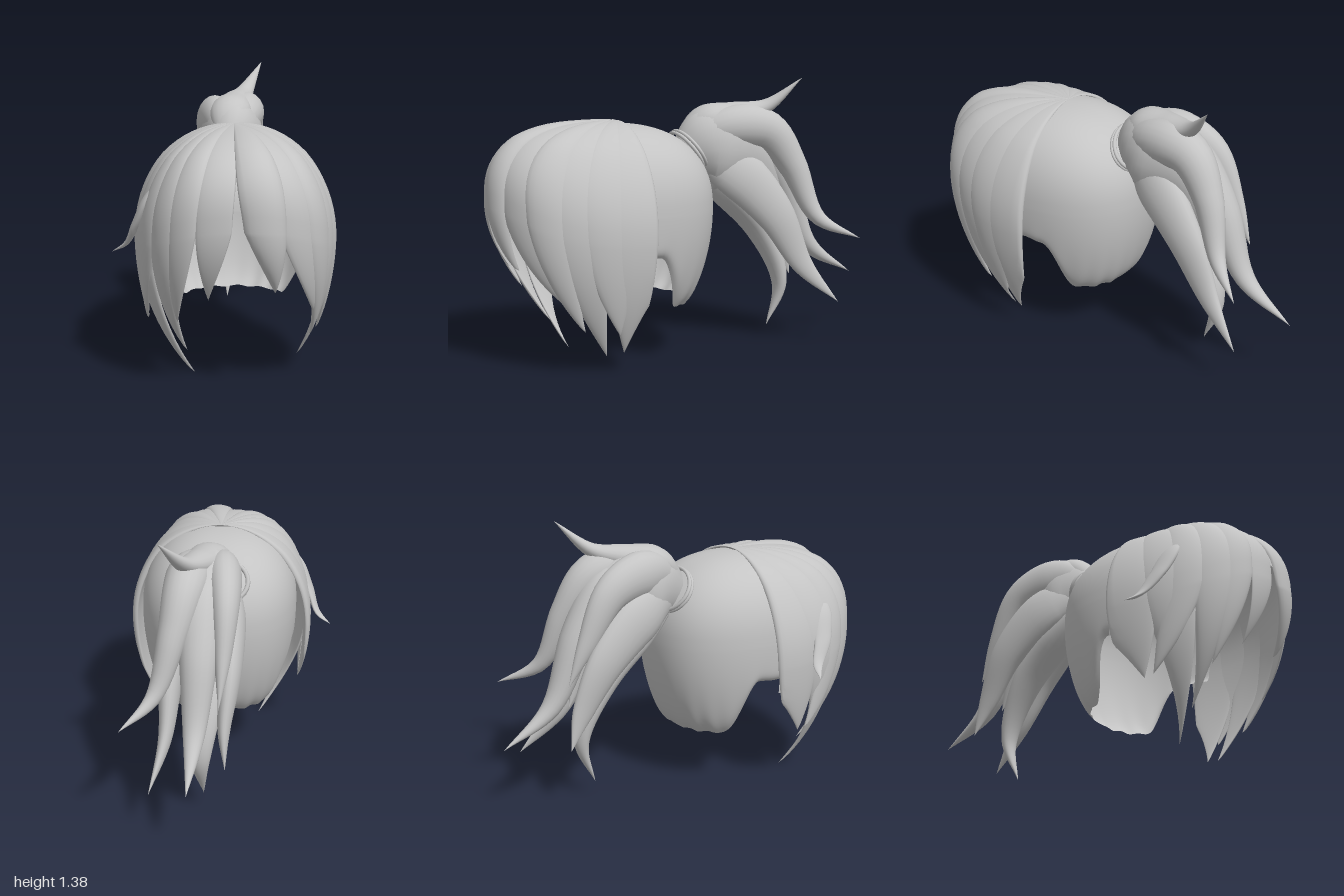
import * as THREE from 'three';

const hair = new THREE.MeshStandardMaterial({ color: 0xc4c4c4, side: THREE.DoubleSide });
hair.name = 'hair grey';

const rad = THREE.MathUtils.degToRad;
const smooth = THREE.MathUtils.smoothstep;
const spow = (v, e) => Math.sign(v) * Math.pow(Math.abs(v), e);
const V = (x, y, z) => new THREE.Vector3(x, y, z);

// Smooth grid surface from fn(u, v); a closed grid wraps around in v.
function grid(rows, cols, closed, fn) {
  const pos = [], idx = [], n = closed ? cols : cols + 1;
  for (let i = 0; i <= rows; i++)
    for (let j = 0; j < n; j++) pos.push(...fn(i / rows, j / cols).toArray());
  for (let i = 0; i < rows; i++)
    for (let j = 0; j < cols; j++) {
      const a = i * n + j, b = i * n + ((j + 1) % n);
      idx.push(a, a + n, b, b, a + n, b + n);
    }
  const g = new THREE.BufferGeometry();
  g.setAttribute('position', new THREE.Float32BufferAttribute(pos, 3));
  g.setIndex(idx);
  g.computeVertexNormals();
  return g;
}

// Point on the front dome: phi runs around from the front, t from crown to tip.
function frontDome(phi, t, tipY, curl) {
  const f = Math.max(0, Math.cos(phi)) ** 2;
  const eq = 0.65 + 0.15 * f, n = 2 + 0.8 * f;
  const a = Math.min(1, t * 2) * Math.PI / 2;
  let h = Math.pow(Math.sin(a), 2 / n);
  let y = eq + (1.18 - eq) * Math.pow(Math.max(0, Math.cos(a)), 2 / n);
  if (t > 0.5) {
    const d = (eq - tipY) * (t - 0.5) * 2;
    y = eq - d;
    h = 1 - curl * d * d;
  }
  const c = Math.cos(phi);
  return V(0.055 + 0.455 * h * spow(Math.sin(phi), 0.83), y,
    0.32 + (c > 0 ? 0.64 : 0.2) * h * spow(c, 0.83));
}

// Lens-shaped lock lying on the dome.
function domeLock([top, tip, tipY, half, curl, bulge]) {
  const centre = V(0.055, 0.72, 0.38);
  return grid(36, 20, true, (t, v) => {
    const a = v * Math.PI * 2;
    const w = 1 - Math.pow(Math.max(0, (t - 0.3) / 0.7), 2);
    const phi = rad(top + (tip - top) * t * t + half * w * Math.cos(a));
    const p = frontDome(phi, t, tipY, curl);
    const s = Math.sin(a);
    const off = bulge * Math.min(1, t * 4) * Math.sqrt(w) * (s > 0 ? s : 0.35 * s);
    return p.addScaledVector(p.clone().sub(centre).normalize(), off);
  });
}

// Free lock swept along a curve, swelling then tapering to a point.
function sweptLock(points, width, thick, side = V(1, 0, 0)) {
  const curve = new THREE.CatmullRomCurve3(points.map(p => V(...p)));
  return grid(32, 20, true, (t, v) => {
    const tan = curve.getTangent(t);
    const nrm = tan.clone().cross(side).normalize();
    const across = nrm.clone().cross(tan).normalize();
    const grow = 0.45 + 0.55 * Math.sin(Math.min(1, t / 0.35) * Math.PI / 2);
    const w = grow * (1 - Math.pow(Math.max(0, (t - 0.3) / 0.7), 1.25));
    const a = v * Math.PI * 2;
    return curve.getPoint(t)
      .addScaledVector(across, width * w * Math.cos(a))
      .addScaledVector(nrm, thick * w * Math.sin(a));
  });
}

export function createModel() {
  const model = new THREE.Group();
  model.name = 'hairstyle';
  const add = (name, geo, parent = model) => {
    const m = new THREE.Mesh(geo, hair);
    m.name = name;
    parent.add(m);
    return m;
  };
  const group = name => {
    const g = new THREE.Group();
    g.name = name;
    model.add(g);
    return g;
  };

  // Back of the scalp: an open half dome with a gathered lower edge
  add('backCap', grid(40, 90, false, (t, v) => {
    const phi = rad(-96 + 192 * v), c = Math.cos(phi);
    const low = 0.278 + 0.277 * smooth(Math.abs(phi), rad(48), rad(80)) ** 2;
    const a = Math.min(1, t * 2) * Math.PI / 2;
    let h = Math.pow(Math.sin(a), 0.87);
    let y = 0.75 + 0.415 * Math.pow(Math.max(0, Math.cos(a)), 0.87);
    if (t > 0.5) {
      const q = (t - 0.5) * 2, d = (0.75 - low) * q;
      y = 0.75 - d + 0.004 * q ** 6 * Math.sin(phi * 17);
      h = 1 - 1.0 * d * d - 0.05 * q ** 12 + 0.006 * q ** 3 * Math.sin(phi * 23);
    }
    return V(0.062 + 0.405 * h * spow(Math.sin(phi), 0.85), y, 0.34 - 0.49 * h * spow(c, 0.85));
  }));

  const fringe = group('fringe');
  // Underlayer joining the locks, high at the forehead and low at the sides
  add('fringeBase', grid(30, 90, false, (t, v) => {
    const phi = rad(-95 + 190 * v);
    const reach = 0.455 + 0.245 * smooth(Math.abs(phi), rad(18), rad(65));
    return frontDome(phi, t * reach, 0.3, 0.8);
  }), fringe);

  // Fringe and side locks: [angle at crown, angle at tip, tip height, half width, curl, bulge]
  [
    [-87, -80, 0.27, 13, 0.6, 0.025],
    [-72, -56, 0.005, 13, 1.05, 0.03],
    [-56, -76, 0.28, 11, 0.5, 0.035],
    [-44, -50, 0.15, 12, 1.15, 0.03],
    [-28, -43, 0.33, 11, 1.0, 0.025],
    [-11, -18, 0.46, 10, 1.6, 0.01],
    [8, 18, 0.5, 11, 1.4, 0.045],
    [22, 62, 0.3, 17, 0.75, 0.02],
    [42, 62, 0.22, 13, 0.8, 0.035],
    [58, 72, 0.08, 14, 0.95, 0.025],
    [74, 80, 0.2, 13, 0.65, 0.03],
    [86, 82, 0.1, 13, 0.85, 0.03],
  ].forEach(l => add('fringeLock', domeLock(l), fringe));

  // Loose lock flicking out at the right side
  add('strayLock', sweptLock(
    [[-0.24, 0.98, 0.6], [-0.34, 0.89, 0.6], [-0.41, 0.75, 0.56], [-0.46, 0.64, 0.49], [-0.53, 0.59, 0.45]],
    0.06, 0.025, V(0, 0.3, 1)));

  // Hair tie around the root of the ponytail
  const tie = group('hairTie');
  tie.position.set(0.045, 1.01, -0.065);
  tie.lookAt(0.045, 1.01 + 0.54, -0.065 - 0.84);
  for (const z of [-0.008, 0.01]) {
    const ring = add('tieBand', new THREE.TorusGeometry(0.125, 0.009, 10, 40), tie);
    ring.scale.set(1.25, 0.95, 1);
    ring.position.z = z;
  }

  // Ponytail: a full core with separate locks over it
  const tail = group('ponytail');
  add('tailCore', sweptLock(
    [[0.045, 1.0, -0.03], [0.07, 1.03, -0.18], [0.085, 0.98, -0.37], [0.09, 0.79, -0.51], [0.09, 0.48, -0.64]],
    0.165, 0.23), tail);
  [
    // Upright spike
    [[[0.04, 1.05, -0.04], [0.06, 1.15, -0.14], [0.1, 1.19, -0.29], [0.16, 1.235, -0.45], [0.26, 1.38, -0.6]], 0.11, 0.085],
    // Outer locks
    [[[0.06, 1.04, -0.05], [0.13, 1.13, -0.23], [0.16, 1.11, -0.45], [0.2, 0.94, -0.58], [0.28, 0.67, -0.69], [0.42, 0.57, -0.86]], 0.11, 0.115],
    [[[0.03, 1.04, -0.05], [0.0, 1.12, -0.23], [-0.03, 1.06, -0.45], [-0.03, 0.82, -0.6], [-0.02, 0.62, -0.7]], 0.09, 0.12],
    // Long middle lock
    [[[0.04, 1.03, -0.06], [0.08, 1.08, -0.36], [0.08, 0.86, -0.57], [0.09, 0.5, -0.74], [0.1, 0.33, -0.995]], 0.12, 0.11],
    // Lower locks
    [[[0.07, 1.0, -0.07], [0.16, 0.93, -0.25], [0.22, 0.7, -0.47], [0.24, 0.42, -0.63], [0.3, 0.22, -0.81]], 0.075, 0.13],
    [[[0.04, 0.98, -0.07], [0.05, 0.84, -0.24], [0.06, 0.6, -0.46], [0.08, 0.3, -0.58], [0.07, 0.07, -0.51]], 0.12, 0.085],
    [[[0.02, 1.0, -0.07], [-0.04, 0.95, -0.26], [-0.06, 0.74, -0.5], [-0.04, 0.48, -0.64], [-0.05, 0.31, -0.71]], 0.07, 0.13],
  ].forEach(([pts, w, t]) => add('tailLock', sweptLock(pts, w, t), tail));

  return model;
}
